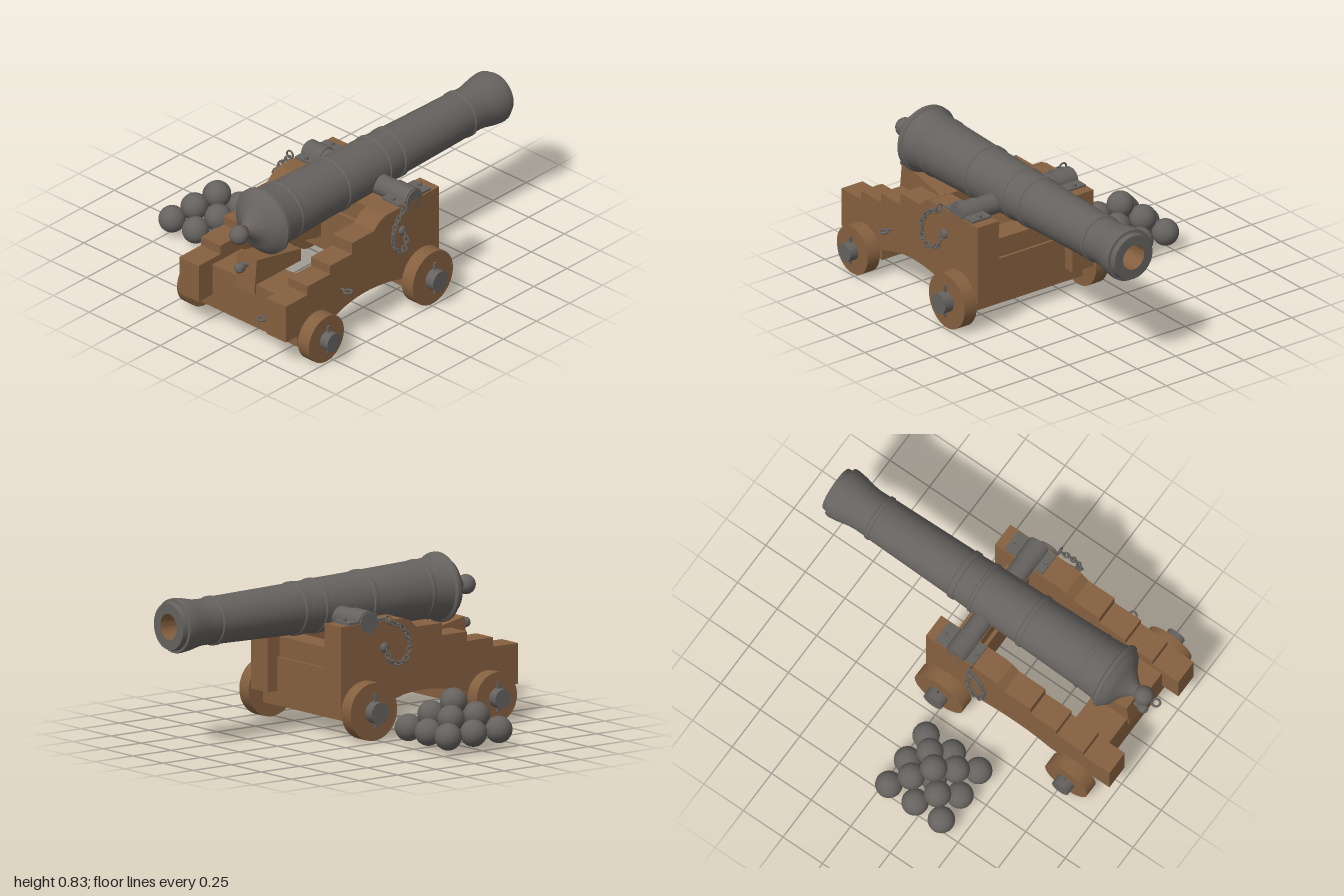
import * as THREE from 'three';
import { toCreasedNormals } from 'three/addons/utils/BufferGeometryUtils.js';

const CX = 0.272; // centre line of the gun

export function createModel() {
  const root = new THREE.Group();
  root.name = 'navalCannon';
  const mat = (name, color, extra = {}) => {
    const m = new THREE.MeshStandardMaterial({ color, ...extra });
    m.name = name;
    return m;
  };
  const iron = mat('iron', 0x65625f);
  const wood = mat('wood', 0x85603f);

  const add = (name, geo, material, x = 0, y = 0, z = 0, parent = root) => {
    const m = new THREE.Mesh(geo, material);
    m.name = name;
    m.position.set(x, y, z);
    parent.add(m);
    return m;
  };
  const box = (name, material, x0, x1, y0, y1, z0, z1) =>
    add(name, new THREE.BoxGeometry(x1 - x0, y1 - y0, z1 - z0), material,
      (x0 + x1) / 2, (y0 + y1) / 2, (z0 + z1) / 2);
  // Cylinder lying along x
  const rod = (name, material, x0, x1, r, y, z, sides = 32) =>
    add(name, new THREE.CylinderGeometry(r, r, x1 - x0, sides).rotateZ(Math.PI / 2),
      material, (x0 + x1) / 2, y, z);
  // Side profile drawn with (-z, y), extruded along x
  const slab = (name, shape, material, x0, x1) =>
    add(name, new THREE.ExtrudeGeometry(shape, { depth: x1 - x0, bevelEnabled: false, curveSegments: 16 })
      .rotateY(Math.PI / 2), material, x0);
  const profile = (pts) => new THREE.Shape(pts.map(([z, y]) => new THREE.Vector2(-z, y)));
  // Revolved around z from [radius, z] points
  const lathe = (pts) => toCreasedNormals(
    new THREE.LatheGeometry(pts.map(([r, z]) => new THREE.Vector2(r, z)), 48).rotateX(Math.PI / 2), 0.55);

  // Barrel, muzzle to breech, with its reinforcing rings
  add('barrel', lathe([
    [0.068, -1], [0.122, -1], [0.127, -0.97], [0.141, -0.968], [0.143, -0.95], [0.137, -0.9],
    [0.124, -0.84], [0.12, -0.8], [0.121, -0.735], [0.129, -0.73], [0.129, -0.712], [0.124, -0.707],
    [0.134, -0.205], [0.141, -0.2], [0.141, -0.17], [0.135, -0.165], [0.139, -0.075],
    [0.145, -0.07], [0.145, -0.055], [0.14, -0.05], [0.146, 0.235], [0.153, 0.24],
    [0.153, 0.262], [0.148, 0.268], [0.157, 0.61], [0.161, 0.615], [0.161, 0.63], [0.157, 0.635],
    [0.163, 0.72], [0.17, 0.745], [0.183, 0.755], [0.183, 0.772], [0.168, 0.785],
    [0.155, 0.805], [0.12, 0.825], [0.085, 0.845], [0.06, 0.87], [0.04, 0.89], [0.034, 0.905],
  ]), iron, CX, 0.645, 0);
  add('cascabelKnob', new THREE.SphereGeometry(0.052, 28, 20), iron, CX, 0.638, 0.946);
  // Bore lining, seen from the inside
  add('bore', lathe([[0.068, -1], [0.068, -0.55], [0, -0.55]].reverse()), wood, CX, 0.645, 0);

  // Trunnions, one bar through the barrel
  rod('trunnions', iron, -0.102, 0.646, 0.056, 0.6, 0.02);

  // Cross members and axle beds
  box('rearAxleBed', wood, -0.08, 0.63, 0.09, 0.345, 0.67, 0.89);
  box('frontAxleBed', wood, -0.08, 0.63, 0.09, 0.345, -0.1, 0.07);
  box('frontTransom', wood, 0.03, 0.515, 0.3, 0.45, -0.085, 0.05);

  // Elevating wedge and its handle
  slab('quoin', profile([[0.905, 0.29], [0.885, 0.487], [0.55, 0.415], [0.55, 0.345], [0.89, 0.345], [0.89, 0.29]]),
    wood, CX - 0.068, CX + 0.068);
  add('quoinHandle', lathe([[0.014, 0.86], [0.014, 0.91], [0.024, 0.922], [0.028, 0.94],
    [0.024, 0.958], [0.012, 0.968], [0, 0.97]]), iron, CX, 0.44, 0);

  // Stepped cheek with an arched underside
  const cheek = profile([[0.1, 0.166], [-0.165, 0.166], [-0.165, 0.6], [0.24, 0.6], [0.285, 0.585],
    [0.33, 0.545], [0.495, 0.545], [0.495, 0.48], [0.66, 0.48], [0.66, 0.43], [0.83, 0.43],
    [0.83, 0.38], [0.995, 0.38], [0.995, 0.166], [0.62, 0.166]]);
  cheek.bezierCurveTo(-0.48, 0.225, -0.3, 0.225, -0.1, 0.166);

  // Strap over the trunnion
  const cap = new THREE.Shape();
  cap.moveTo(-0.13, 0.595);
  cap.lineTo(-0.13, 0.612);
  cap.lineTo(-0.081, 0.612);
  cap.absarc(-0.02, 0.6, 0.062, Math.PI - 0.2, 0.2, true);
  cap.lineTo(0.11, 0.612);
  cap.lineTo(0.11, 0.595);

  // Chain path on the outside of a cheek: [outward offset, y, z]
  const chainPath = new THREE.CatmullRomCurve3([
    [0.028, 0.595, 0.13], [0.04, 0.575, 0.185], [0.05, 0.52, 0.23], [0.056, 0.45, 0.24],
    [0.058, 0.395, 0.205], [0.05, 0.38, 0.16], [0.035, 0.41, 0.122], [0.022, 0.455, 0.118],
  ].map((p) => new THREE.Vector3(...p)));
  const linkGeo = new THREE.TorusGeometry(0.0125, 0.0045, 6, 12).scale(1, 1.4, 1);
  const UP = new THREE.Vector3(0, 1, 0);

  for (const s of [-1, 1]) {
    const side = s < 0 ? 'right' : 'left';
    const out = (d) => CX + s * d; // distance outward from the centre line
    const span = (a, b) => (s < 0 ? [out(b), out(a)] : [out(a), out(b)]);

    slab(side + 'Cheek', cheek, wood, ...span(0.238, 0.374));
    slab(side + 'CapSquare', cap, iron, ...span(0.245, 0.366));
    for (const z of [-0.09, 0.11])
      add(side + 'CapBolt', new THREE.CylinderGeometry(0.012, 0.012, 0.02, 10), iron, out(0.305), 0.617, z);

    // Wheels, axle ends and linchpins
    for (const [end, r, z, ar] of [['Front', 0.152, -0.02, 0.057], ['Rear', 0.132, 0.785, 0.051]]) {
      const y = r + 0.001;
      rod(side + end + 'Wheel', wood, ...span(0.386, 0.464), r, y, z, 40);
      rod(side + end + 'Axle', iron, ...span(0.3, 0.518), ar, y, z, 24);
      add(side + end + 'Linchpin', new THREE.BoxGeometry(0.012, r * 1.2, 0.014), iron, out(0.478), y + 0.005, z);
    }

    // Chain with its ring and bolt
    const chain = new THREE.Group();
    chain.name = side + 'Chain';
    root.add(chain);
    add('chainRing', new THREE.TorusGeometry(0.021, 0.005, 8, 20), iron, out(0.4), 0.61, 0.13, chain);
    const bolt = add('chainBolt', new THREE.SphereGeometry(0.027, 16, 12).scale(0.6, 1, 1), iron,
      out(0.376), 0.46, 0.118, chain);
    bolt.name = 'chainBolt';
    const n = 17;
    for (let i = 0; i < n; i++) {
      const u = (i + 0.5) / n;
      const p = chainPath.getPointAt(u), t = chainPath.getTangentAt(u);
      const link = add('chainLink', linkGeo, iron, out(0.374 + p.x), p.y, p.z, chain);
      t.x *= s;
      link.quaternion.setFromUnitVectors(UP, t);
      link.rotateY(i % 2 ? Math.PI / 4 : -Math.PI / 4);
    }
  }

  // Eyebolts on the left cheek and the rear axle bed
  const eye = new THREE.TorusGeometry(0.021, 0.0065, 8, 20).rotateX(Math.PI / 2);
  add('sideEyebolt', eye, iron, 0.692, 0.308, 0.575);
  rod('sideEyeboltShank', iron, 0.64, 0.672, 0.007, 0.308, 0.575, 10);
  add('rearEyebolt', eye, iron, 0.41, 0.185, 0.925);
  add('rearEyeboltShank', new THREE.CylinderGeometry(0.007, 0.007, 0.03, 10).rotateX(Math.PI / 2),
    iron, 0.41, 0.185, 0.895);

  // Pyramid of shot
  const ball = new THREE.SphereGeometry(0.071, 28, 20);
  const pile = new THREE.Group();
  pile.name = 'shotPile';
  root.add(pile);
  [[3, 0.095], [2, 0.168], [1, 0.238]].forEach(([n, y]) => {
    for (let i = 0; i < n; i++)
      for (let j = 0; j < n; j++)
        add('shot', ball, iron, -0.561 + (i - (n - 1) / 2) * 0.165, y, 0.212 + (j - (n - 1) / 2) * 0.166, pile);
  });

  return root;
}
